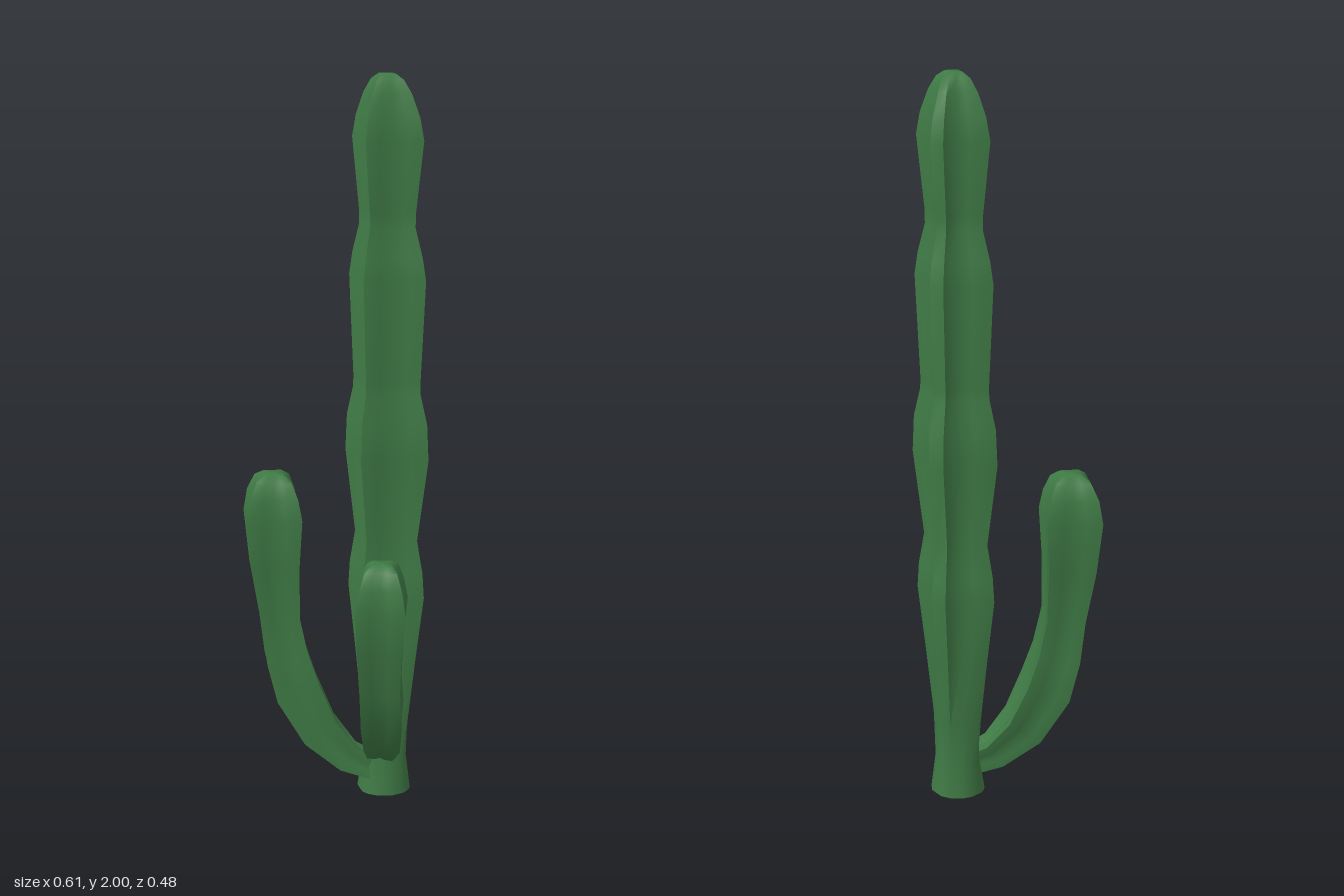
import * as THREE from 'three';
import { toCreasedNormals } from 'three/addons/utils/BufferGeometryUtils.js';

const green = new THREE.MeshStandardMaterial({ color: 0x3f7a45 });

// Four-ribbed star outline of unit radius, turned by an angle
function ribOutline(turn) {
  const radii = [1, 0.75, 0.6, 0.75];
  return Array.from({ length: 16 }, (_, i) => {
    const a = turn + (i / 16) * Math.PI * 2;
    return [Math.cos(a) * radii[i % 4], Math.sin(a) * radii[i % 4]];
  });
}

// Sweeps an outline along rings [x, y, z, radius, roundness]; closes both ends
function ribbedStem(name, outline, rings) {
  const n = outline.length, pos = [], index = [];
  const up = new THREE.Vector3(0, 1, 0);
  const centres = rings.map(r => new THREE.Vector3(r[0], r[1], r[2]));
  const last = rings.length - 1;
  rings.forEach(([, , , radius, round = 0], i) => {
    const dir = centres[Math.min(i + 1, last)].clone().sub(centres[Math.max(i - 1, 0)]).normalize();
    if (dir.y < 0 || i === last) dir.copy(up);
    const q = new THREE.Quaternion().setFromUnitVectors(up, dir);
    for (const [x, z] of outline) {
      const len = Math.hypot(x, z);
      const k = radius * ((1 - round) + round / len);
      const p = new THREE.Vector3(x * k, 0, z * k).applyQuaternion(q).add(centres[i]);
      pos.push(p.x, p.y, p.z);
    }
  });
  for (let i = 0; i < last; i++) {
    for (let j = 0; j < n; j++) {
      const a = i * n + j, b = i * n + (j + 1) % n;
      index.push(a, a + n, b, b, a + n, b + n);
    }
  }
  // End caps
  const bottom = pos.length / 3, top = bottom + 1;
  pos.push(...centres[0].toArray(), ...centres[last].toArray());
  for (let j = 0; j < n; j++) {
    const k = (j + 1) % n;
    index.push(bottom, j, k, top, last * n + k, last * n + j);
  }
  const geo = new THREE.BufferGeometry();
  geo.setAttribute('position', new THREE.Float32BufferAttribute(pos, 3));
  geo.setIndex(index);
  const mesh = new THREE.Mesh(toCreasedNormals(geo, 1.0), green);
  mesh.name = name;
  return mesh;
}

export function createModel() {
  const group = new THREE.Group();
  group.name = 'cactus';

  // Trunk: uneven ribs with a blunt back rib, pinched between bulges
  const trunkOutline = [
    [-0.26, -0.87], [0.08, -0.9], [0.37, -0.42], [0.68, -0.3], [1.04, -0.04],
    [0.74, 0.15], [0.4, 0.33], [0.22, 0.62], [-0.04, 0.87], [-0.15, 0.42],
    [-0.38, 0.19], [-0.7, 0.15], [-1, 0], [-0.65, -0.31], [-0.38, -0.41],
  ];
  const trunkProfile = [
    [0.03, 0.055, 1], [0, 0.075, 1], [0.1, 0.066, 0.8], [0.22, 0.076, 0.5],
    [0.4, 0.097, 0.15], [0.58, 0.12], [0.65, 0.115], [0.74, 0.098],
    [0.97, 0.13], [1.07, 0.125], [1.15, 0.105], [1.18, 0.104], [1.46, 0.118],
    [1.52, 0.108], [1.6, 0.086], [1.64, 0.087], [1.83, 0.109], [1.89, 0.097],
    [1.95, 0.073, 0.1], [1.985, 0.05, 0.2], [2, 0.026, 0.3],
  ];
  group.add(ribbedStem('trunk', trunkOutline,
    trunkProfile.map(([y, r, round]) => [0.052, y, -0.125, r, round])));

  // Taller arm, curving out to the model's right
  group.add(ribbedStem('rightArm', ribOutline(0.1), [
    [0.04, 0.07, -0.09, 0.045], [-0.02, 0.1, -0.05, 0.055], [-0.09, 0.18, -0.01, 0.075],
    [-0.145, 0.3, 0.02, 0.088], [-0.17, 0.4, 0.035, 0.082], [-0.185, 0.51, 0.045, 0.075],
    [-0.198, 0.66, 0.05, 0.092], [-0.202, 0.8, 0.05, 0.107], [-0.202, 0.86, 0.05, 0.093],
    [-0.2, 0.905, 0.05, 0.067, 0.1], [-0.2, 0.922, 0.05, 0.036, 0.2],
  ]));

  // Shorter arm, curving forward to the model's left
  group.add(ribbedStem('leftArm', ribOutline(0.27), [
    [0.05, 0.13, -0.1, 0.036], [0.09, 0.15, -0.05, 0.05], [0.14, 0.22, 0.02, 0.07],
    [0.17, 0.3, 0.07, 0.078], [0.187, 0.4, 0.105, 0.076], [0.203, 0.52, 0.133, 0.083],
    [0.215, 0.64, 0.147, 0.094], [0.217, 0.7, 0.15, 0.08],
    [0.217, 0.745, 0.15, 0.06, 0.1], [0.217, 0.76, 0.15, 0.036, 0.2],
  ]));

  return group;
}
